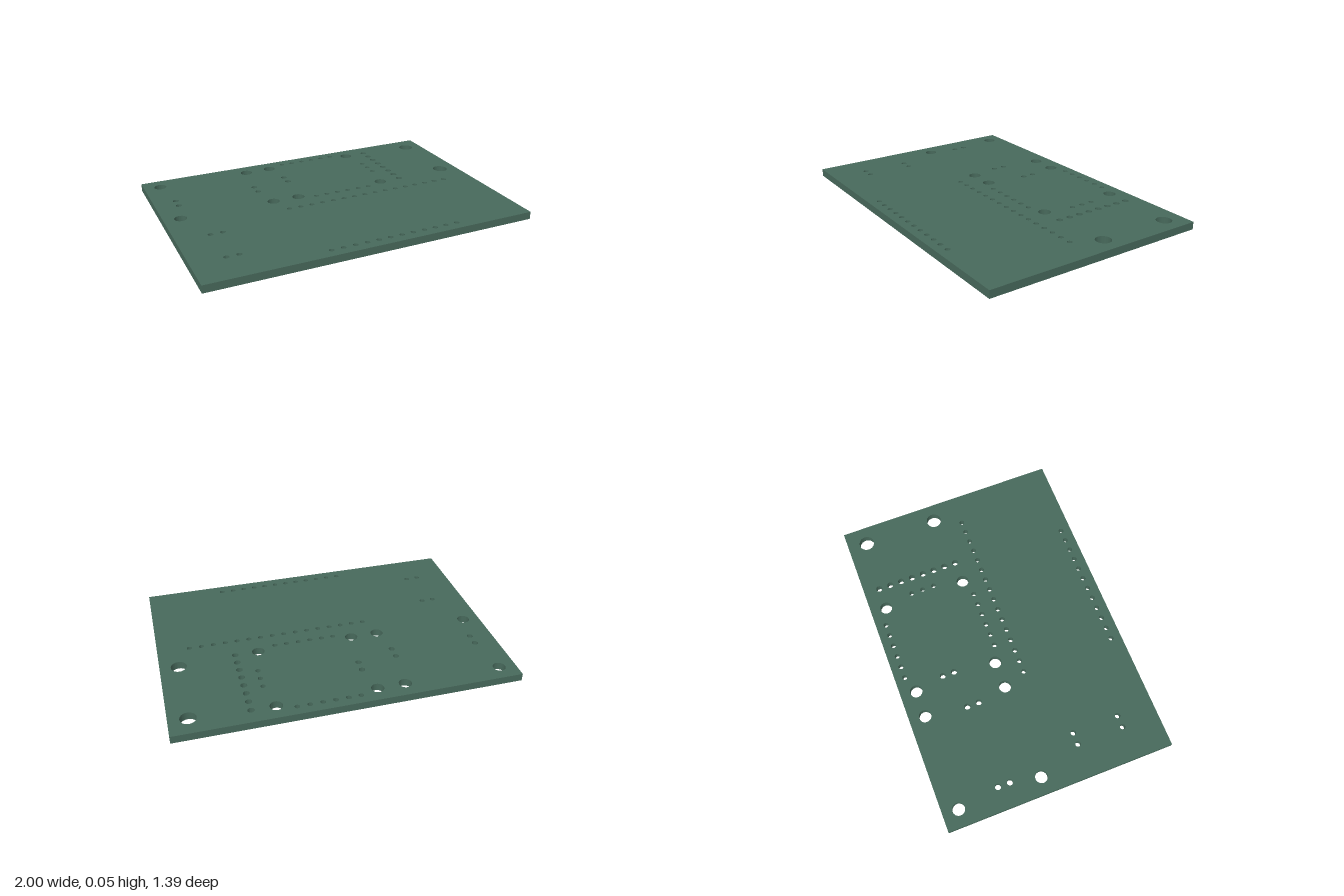
import * as THREE from 'three';
import { toCreasedNormals } from 'three/addons/utils/BufferGeometryUtils.js';

const WIDTH = 2, DEPTH = 1.386, THICKNESS = 0.046;

export function createModel() {
  const group = new THREE.Group();
  group.name = 'circuitBoard';

  // Board outline, drawn with shape y = -z
  const w = WIDTH / 2, d = DEPTH / 2;
  const board = new THREE.Shape([
    new THREE.Vector2(-w, -d), new THREE.Vector2(w, -d),
    new THREE.Vector2(w, d), new THREE.Vector2(-w, d),
  ]);

  const drill = (x, z, r) => {
    const hole = new THREE.Path();
    hole.absarc(x, -z, r, 0, Math.PI * 2, true);
    board.holes.push(hole);
  };
  // Evenly spaced holes from one point to another
  const drillRow = (x0, z0, x1, z1, count, r) => {
    for (let i = 0; i < count; i++) {
      const t = i / (count - 1);
      drill(x0 + (x1 - x0) * t, z0 + (z1 - z0) * t, r);
    }
  };

  // Mounting holes of the two modules
  for (const x of [-0.9, -0.323, -0.16, 0.417]) {
    for (const z of [-0.596, -0.089]) drill(x, z, 0.037);
  }
  // Larger mounting holes near the left edge
  for (const z of [-0.573, -0.115]) drill(0.89, z, 0.046);

  // Pin header rows
  drillRow(-0.053, -0.632, 0.309, -0.632, 6, 0.015);
  drillRow(-0.053, -0.053, 0.309, -0.053, 6, 0.015);
  drillRow(0.556, -0.596, 0.556, -0.089, 8, 0.019);
  drillRow(-0.275, 0.051, 0.81, 0.051, 16, 0.015);
  drillRow(-0.27, 0.63, 0.522, 0.63, 12, 0.015);

  // Short pin groups
  drillRow(-0.864, -0.343, -0.864, -0.27, 2, 0.018);
  drillRow(-0.358, -0.343, -0.358, -0.27, 2, 0.018);
  drillRow(-0.126, -0.415, -0.126, -0.343, 2, 0.018);
  drillRow(0.454, -0.415, 0.454, -0.27, 3, 0.015);
  for (const z of [0.182, 0.467]) drillRow(-0.801, z, -0.73, z, 2, 0.016);

  // Flat plate with all holes cut through
  let geometry = new THREE.ExtrudeGeometry(board, {
    depth: THICKNESS, bevelEnabled: false, curveSegments: 24,
  });
  geometry.rotateX(-Math.PI / 2);
  geometry = toCreasedNormals(geometry, 0.6);

  const plate = new THREE.Mesh(geometry, new THREE.MeshStandardMaterial({ color: 0x47695b }));
  plate.name = 'drilledBoard';
  group.add(plate);
  return group;
}
